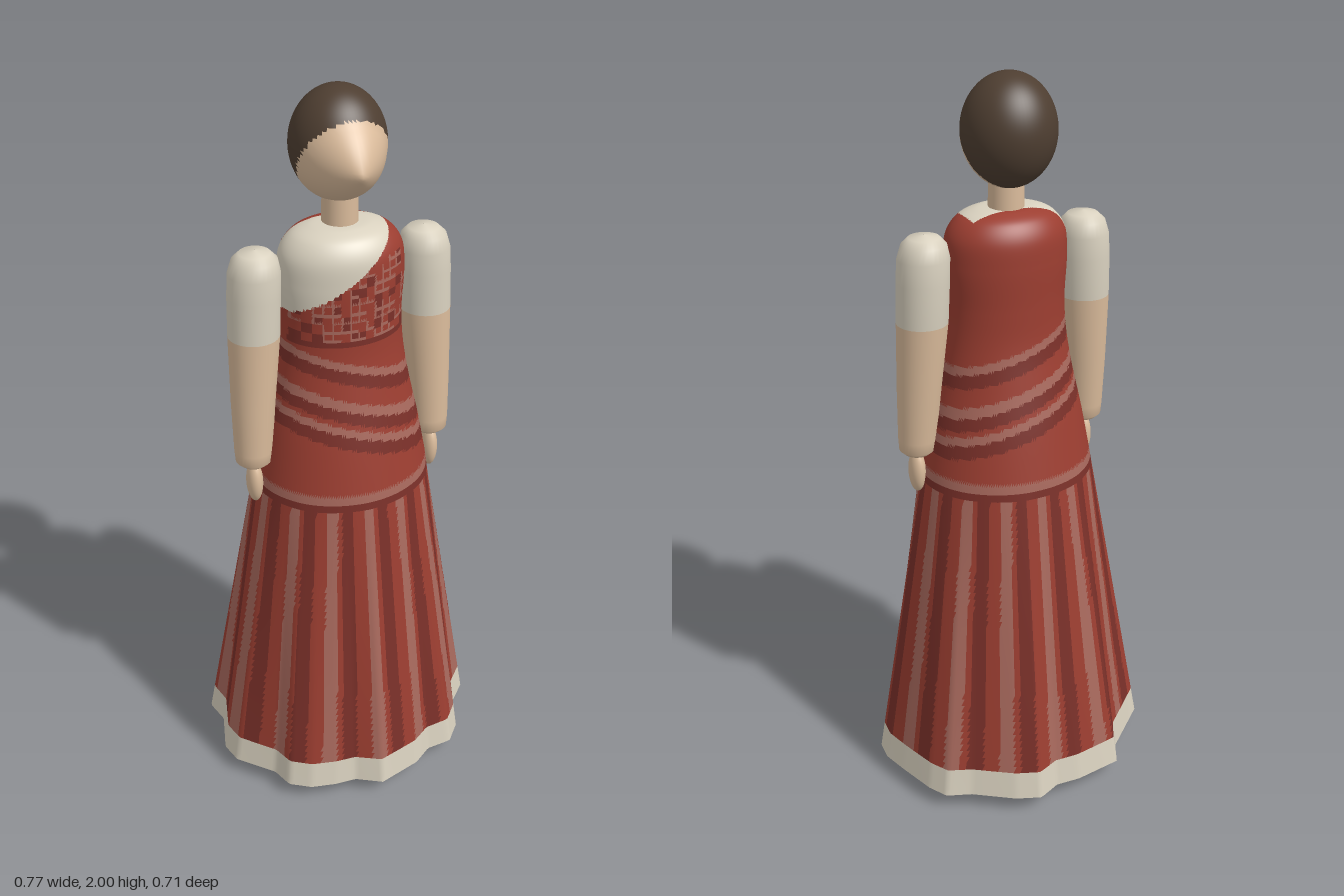
import * as THREE from 'three';

const flat = (name, color, side = THREE.FrontSide) => {
  const m = new THREE.MeshStandardMaterial({ color, side });
  m.name = name;
  return m;
};

// Hem outline as [x, z] corners, starting at the front and going round by the left
const HEM = [
  [0, 0.353], [0.122, 0.315], [0.176, 0.276], [0.25, 0.268], [0.295, 0.214], [0.328, 0.116],
  [0.382, 0.058], [0.386, 0], [0.365, -0.073], [0.33, -0.18], [0.3, -0.232], [0.235, -0.257],
  [0.13, -0.33], [0.064, -0.357], [0, -0.33], [-0.07, -0.335], [-0.205, -0.317], [-0.236, -0.255],
  [-0.38, -0.13], [-0.36, -0.056], [-0.388, 0.058], [-0.37, 0.12], [-0.28, 0.207], [-0.257, 0.266],
  [-0.2, 0.3], [-0.13, 0.313], [-0.07, 0.315],
];
const TAU = Math.PI * 2;

// Distance from the axis to the hem outline in a given direction
function hemRadius(angle) {
  const s = Math.sin(angle), c = Math.cos(angle);
  for (let i = 0; i < HEM.length; i++) {
    const p = HEM[i], q = HEM[(i + 1) % HEM.length];
    const a = (Math.atan2(p[0], p[1]) + TAU) % TAU;
    const b = i === HEM.length - 1 ? TAU : (Math.atan2(q[0], q[1]) + TAU) % TAU;
    if (angle >= a - 1e-6 && angle <= b + 1e-6) {
      const ex = q[0] - p[0], ez = q[1] - p[1];
      return (p[0] * ez - p[1] * ex) / (s * ez - c * ex);
    }
  }
  return 0.35;
}

// Closed-round surface from rows of points, bottom row first
function loft(rows, cols, point) {
  const pos = [], index = [];
  for (let i = 0; i < rows; i++) {
    for (let j = 0; j < cols; j++) pos.push(...point(i, (j / cols) * TAU));
  }
  for (let i = 0; i < rows - 1; i++) {
    for (let j = 0; j < cols; j++) {
      const k = (j + 1) % cols;
      const a = i * cols + j, b = i * cols + k, c = a + cols, d = b + cols;
      index.push(a, b, d, a, d, c);
    }
  }
  const g = new THREE.BufferGeometry();
  g.setAttribute('position', new THREE.Float32BufferAttribute(pos, 3));
  g.setIndex(index);
  g.computeVertexNormals();
  return g;
}

// Sorts the faces into one group per material by the position of their centres
function paint(g, count, pick) {
  const p = g.attributes.position, idx = g.index.array;
  const bins = Array.from({ length: count }, () => []);
  for (let i = 0; i < idx.length; i += 3) {
    const t = [idx[i], idx[i + 1], idx[i + 2]];
    const mid = (f) => (f(t[0]) + f(t[1]) + f(t[2])) / 3;
    bins[pick(mid((k) => p.getX(k)), mid((k) => p.getY(k)), mid((k) => p.getZ(k)))].push(...t);
  }
  g.setIndex(bins.flat());
  g.clearGroups();
  let start = 0;
  bins.forEach((b, m) => {
    if (b.length) g.addGroup(start, b.length, m);
    start += b.length;
  });
  return g;
}

const hash = (a, b) => {
  const s = Math.sin(a * 127.1 + b * 311.7) * 43758.5453;
  return s - Math.floor(s);
};
const mod = (a, n) => ((a % n) + n) % n;

// Dress pattern: 0 red, 1 dark fold, 2 pale stripe, 3 cream
function dressColour(x, y, z) {
  if (y < 0.13) return 3;
  const angle = Math.atan2(x, z);
  // pleat stripes of the skirt
  if (y < 0.925) {
    const f = mod((angle / TAU) * 14 + 0.14, 1);
    return f < 0.28 ? 2 : f > 0.4 && f < 0.7 ? 1 : 0;
  }
  // hip seam
  if (y < 1.0) return Math.abs(y - 0.965) < 0.011 ? 2 : y < 0.954 ? 1 : 0;
  // bare cream shoulder
  const u = x + 0.165;
  if (y > 1.4 && z > -0.045 && y > 1.455 + 0.5 * u + 0.7 * u * Math.abs(u)) return 3;
  // slanting drapes round the waist
  if (y < 1.375) {
    const v = y + 0.3 * x;
    for (const [c, w] of [[1.31, 0.011], [1.205, 0.014], [1.135, 0.011]]) {
      if (Math.abs(v - c) < w) return 2;
      if (v < c && v > c - 0.045) return 1;
    }
    return 0;
  }
  // woven threads on the bust
  if (z > 0.03 && y < 1.6) {
    if (y < 1.39) return 1;
    const i = Math.floor(x / 0.022), j = Math.floor(y / 0.024);
    const thread = mod(y, 0.024) < 0.008 || mod(x, 0.022) < 0.005;
    if (thread && hash(i, j) > 0.45) return 2;
    if (hash(i + 9, j) > 0.75) return 1;
  }
  return 0;
}

export function createModel() {
  const model = new THREE.Group();
  model.name = 'figure';
  const red = flat('red cloth', 0x9c3e31, THREE.DoubleSide);
  const dark = flat('dark red cloth', 0x7a3029, THREE.DoubleSide);
  const pale = flat('pale rose cloth', 0xa8695d, THREE.DoubleSide);
  const cream = flat('cream cloth', 0xd9d1bf, THREE.DoubleSide);
  const skin = flat('skin', 0xdabb9b);
  const hair = flat('hair', 0x4e3e31);
  const add = (name, geometry, material, parent = model) => {
    const m = new THREE.Mesh(geometry, material);
    m.name = name;
    parent.add(m);
    return m;
  };

  // Dress: bodice profile (half width, height, half depth) continuing into the flared skirt
  const bodice = new THREE.CatmullRomCurve3([
    [0.235, 0.97, 0.208], [0.21, 1.1, 0.18], [0.183, 1.22, 0.152], [0.165, 1.33, 0.132],
    [0.16, 1.42, 0.128], [0.165, 1.53, 0.128], [0.158, 1.6, 0.122], [0.13, 1.64, 0.1],
    [0.085, 1.66, 0.065], [0.035, 1.665, 0.035],
  ].map((p) => new THREE.Vector3(...p)));
  const skirtRows = 46, bodiceRows = 105;
  const dress = loft(skirtRows + bodiceRows + 1, 240, (i, a) => {
    const s = Math.sin(a), c = Math.cos(a);
    if (i >= skirtRows) {
      const p = bodice.getPoint((i - skirtRows) / bodiceRows);
      return [p.x * s, p.y, p.z * c];
    }
    const t = 1 - i / skirtRows, r = hemRadius(a);
    return [
      THREE.MathUtils.lerp(0.235, r, t) * s,
      0.97 - 0.92 * t,
      THREE.MathUtils.lerp(0.208, r, t) * c,
    ];
  });
  add('dress', paint(dress, 4, dressColour), [red, dark, pale, cream]);

  // Head: an egg drawn out to a pointed nose, with a slanting hairline
  const head = new THREE.SphereGeometry(1, 64, 48);
  head.scale(0.121, 0.142, 0.12);
  const hp = head.attributes.position;
  for (let i = 0; i < hp.count; i++) {
    const z = hp.getZ(i);
    if (z <= 0) continue;
    const d = Math.hypot(hp.getX(i), hp.getY(i) + 0.03);
    hp.setZ(i, z + 0.055 * Math.max(0, 1 - d / 0.105));
  }
  head.translate(0, 1.858, -0.02);
  head.computeVertexNormals();
  paint(head, 2, (x, y, z) => (z < -0.055 + (y - 1.72) * 0.6 ? 1 : 0));
  add('head', head, [skin, hair]);
  add('neck', new THREE.CylinderGeometry(0.045, 0.047, 0.12, 32), skin).position.set(0, 1.69, -0.005);

  // Arms as rings of [height, x, z, radius], sleeve above and bare below
  const rings = [
    [1.015, 0.252, 0.018, 0.001], [1.016, 0.252, 0.018, 0.035], [1.028, 0.252, 0.018, 0.048],
    [1.06, 0.251, 0.017, 0.051], [1.2, 0.245, 0.01, 0.058], [1.39, 0.234, 0.002, 0.067],
    [1.5, 0.23, 0, 0.068], [1.56, 0.227, 0, 0.067], [1.595, 0.225, 0, 0.058],
    [1.613, 0.224, 0, 0.04], [1.62, 0.224, 0, 0.001],
  ];
  for (const side of [1, -1]) {
    const label = side > 0 ? 'left' : 'right';
    const arm = loft(rings.length, 32, (i, a) => {
      const [y, x, z, r] = rings[i];
      return [side * x + r * Math.sin(a), y, z + r * Math.cos(a)];
    });
    add(label + 'Arm', paint(arm, 2, (x, y) => (y > 1.39 ? 1 : 0)), [skin, cream]);

    const hand = add(label + 'Hand', new THREE.SphereGeometry(1, 24, 16), skin);
    hand.scale.set(0.022, 0.062, 0.031);
    hand.position.set(side * 0.253, 0.96, 0.022);

    // Legs and feet under the skirt
    add(label + 'Leg', new THREE.CylinderGeometry(0.06, 0.042, 0.8, 24), skin)
      .position.set(side * 0.1, 0.43, -0.02);
    const foot = add(label + 'Foot', new THREE.SphereGeometry(1, 28, 18), skin);
    foot.scale.set(0.05, 0.038, 0.11);
    foot.position.set(side * 0.1, 0.038, 0.035);
  }
  return model;
}
